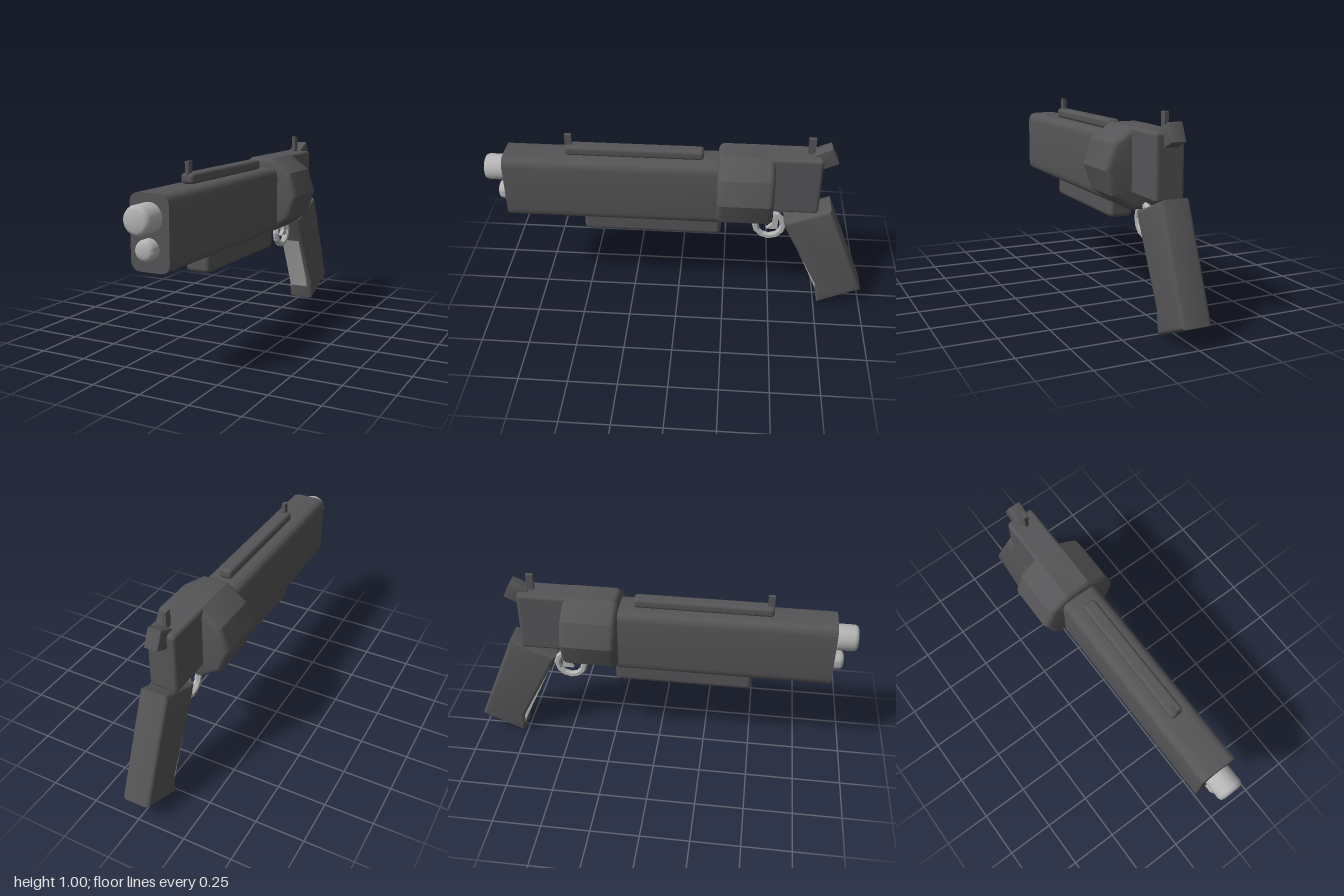
import * as THREE from 'three';
import { toCreasedNormals } from 'three/addons/utils/BufferGeometryUtils.js';
import { RoundedBoxGeometry } from 'three/addons/geometries/RoundedBoxGeometry.js';

export function createModel() {
  const group = new THREE.Group();
  const dark = new THREE.MeshStandardMaterial({ color: 0x555557 });
  dark.name = 'dark gunmetal';
  const light = new THREE.MeshStandardMaterial({ color: 0xb4b4b4 });
  light.name = 'light steel';

  const add = (name, geometry, material, x = 0, y = 0, z = 0) => {
    const mesh = new THREE.Mesh(geometry, material);
    mesh.name = name;
    mesh.position.set(x, y, z);
    group.add(mesh);
    return mesh;
  };

  const shapeOf = (points) => new THREE.Shape(points.map(([a, b]) => new THREE.Vector2(a, b)));

  // Extrusion of given total depth, centred on its depth, with rounded edges
  const extrude = (shape, depth, bevel) => {
    const g = new THREE.ExtrudeGeometry(shape, {
      depth: depth - 2 * bevel, curveSegments: 4, bevelEnabled: bevel > 0,
      bevelSize: bevel, bevelThickness: bevel, bevelOffset: -bevel, bevelSegments: 3,
    });
    g.translate(0, 0, -(depth - 2 * bevel) / 2);
    return toCreasedNormals(g, 0.55);
  };

  // Side profile given as [z, y] points, extruded across x
  const sideProfile = (points, width, bevel) =>
    extrude(shapeOf(points), width, bevel).rotateY(-Math.PI / 2);

  // Rectangle with separate radii for the top and bottom corners
  const roundedRect = (w, y0, y1, rTop, rBottom) => {
    const s = new THREE.Shape();
    s.moveTo(-w + rBottom, y0).lineTo(w - rBottom, y0);
    s.quadraticCurveTo(w, y0, w, y0 + rBottom).lineTo(w, y1 - rTop);
    s.quadraticCurveTo(w, y1, w - rTop, y1).lineTo(-w + rTop, y1);
    s.quadraticCurveTo(-w, y1, -w, y1 - rTop).lineTo(-w, y0 + rBottom);
    s.quadraticCurveTo(-w, y0, -w + rBottom, y0);
    return s;
  };

  // Barrel shroud with a flat front
  add('barrelShroud', extrude(roundedRect(0.1, 0.52, 0.87, 0.05, 0.05), 1.14, 0), dark, 0, 0, 0.32);

  // Underlug below the barrel
  add('underlug', new RoundedBoxGeometry(0.13, 0.13, 0.72, 3, 0.025), dark, 0, 0.495, 0.135);

  // Two muzzles with rounded rims
  for (const [name, r, y, end] of [['upperMuzzle', 0.067, 0.765, 1], ['lowerMuzzle', 0.049, 0.625, 0.945]]) {
    const b = 0.02;
    const profile = [[r, 0.85], [r, end - b], [r - b * 0.3, end - b * 0.3], [r - b, end], [0, end]]
      .map(([a, h]) => new THREE.Vector2(a, h));
    const g = toCreasedNormals(new THREE.LatheGeometry(profile, 32).rotateX(Math.PI / 2), 0.9);
    add(name, g, light, 0, y, 0);
  }

  // Ten-sided cylinder drum
  const decagon = Array.from({ length: 10 }, (_, i) => {
    const a = (i * Math.PI) / 5;
    return [0.21 * Math.cos(a), 0.21 * Math.sin(a)];
  });
  add('drum', extrude(shapeOf(decagon), 0.285, 0.03), dark, 0, 0.72, -0.3425);

  // Rear frame
  add('rearFrame', new RoundedBoxGeometry(0.15, 0.32, 0.3, 3, 0.018), dark, 0, 0.76, -0.57);

  // Top rail and sights
  add('topRail', new RoundedBoxGeometry(0.07, 0.052, 0.705, 3, 0.018), dark, 0, 0.894, 0.225);
  add('frontSight', new THREE.BoxGeometry(0.02, 0.075, 0.034), dark, 0, 0.9375, 0.558);
  add('rearSight', new THREE.BoxGeometry(0.02, 0.11, 0.036), dark, 0, 0.95, -0.66);

  // Hammer
  add('hammer', sideProfile([
    [-0.665, 0.9], [-0.7, 0.85], [-0.73, 0.85], [-0.797, 0.882], [-0.757, 0.967], [-0.725, 0.955], [-0.67, 0.925],
  ], 0.07, 0.004), dark);

  // Grip with a recessed front and a small lip at its foot
  add('grip', sideProfile([
    [-0.77, 0], [-1, 0.105], [-0.785, 0.63], [-0.55, 0.535], [-0.565, 0.49], [-0.755, 0.115], [-0.755, 0.07],
  ], 0.15, 0.02), dark, 0.01);
  add('gripInlay', sideProfile([
    [-0.76, 0.06], [-0.775, 0.075], [-0.59, 0.49], [-0.566, 0.5], [-0.745, 0.105],
  ], 0.108, 0), light, -0.002);

  // Trigger guard ring and trigger
  const ring = new THREE.TorusGeometry(0.074, 0.018, 6, 12).rotateY(Math.PI / 2);
  add('triggerGuard', toCreasedNormals(ring, 0.4), light, 0, 0.468, -0.48);
  add('trigger', sideProfile([
    [-0.525, 0.445], [-0.465, 0.445], [-0.495, 0.475], [-0.5, 0.53], [-0.525, 0.53],
  ], 0.022, 0), light);

  return group;
}
